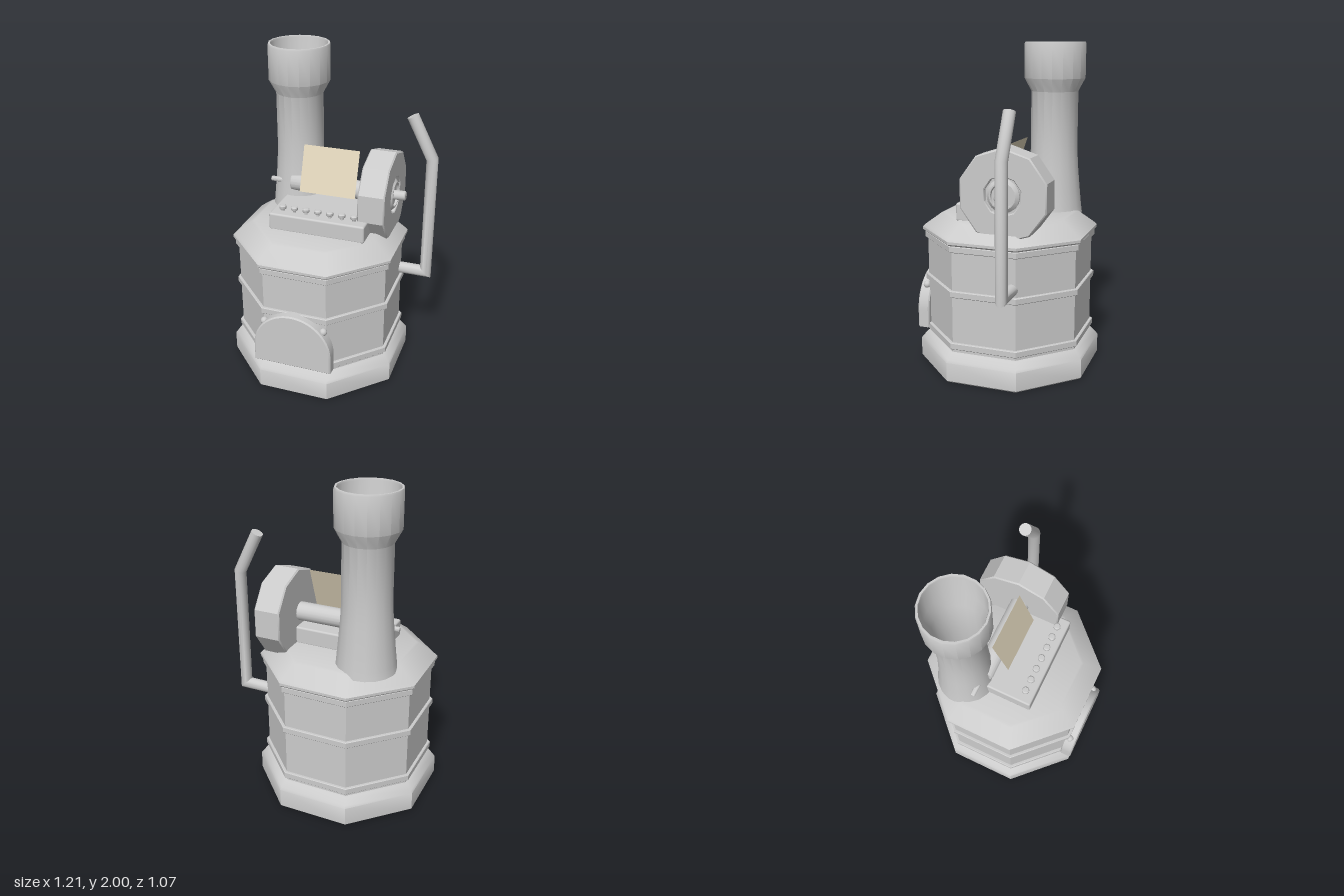
import * as THREE from 'three';
import { toCreasedNormals } from 'three/addons/utils/BufferGeometryUtils.js';
import { RoundedBoxGeometry } from 'three/addons/geometries/RoundedBoxGeometry.js';

const metal = new THREE.MeshStandardMaterial({ color: 0xcccccc });
metal.name = 'pale metal';
const paperMat = new THREE.MeshStandardMaterial({ color: 0xe0d5bb, side: THREE.DoubleSide });
paperMat.name = 'cream paper';

// Revolved solid from [radius, height] pairs
function lathe(profile, sides, start = 0, scale = 1, crease = 0.7) {
  const pts = profile.map(([r, y]) => new THREE.Vector2(r * scale, y));
  return toCreasedNormals(new THREE.LatheGeometry(pts, sides, start), crease);
}

// Pipe through points in an x-y plane, with mitred corners and closed ends
function pipe(points, radius, sides) {
  const pos = [], index = [], n = points.length;
  const p = points.map(([x, y]) => new THREE.Vector2(x, y));
  p.forEach((c, i) => {
    const a = c.clone().sub(p[Math.max(i - 1, 0)]).normalize();
    const b = p[Math.min(i + 1, n - 1)].clone().sub(c).normalize();
    const t = a.clone().add(b).normalize();
    const side = new THREE.Vector2(-t.y, t.x);
    const stretch = 1 / t.dot(i ? a : b);
    for (let j = 0; j < sides; j++) {
      const u = (j / sides) * Math.PI * 2;
      const s = Math.cos(u) * radius * stretch;
      pos.push(c.x + side.x * s, c.y + side.y * s, Math.sin(u) * radius);
    }
  });
  for (let i = 0; i < n - 1; i++) {
    for (let j = 0; j < sides; j++) {
      const k = (j + 1) % sides;
      const a = i * sides + j, b = i * sides + k;
      index.push(a, b, b + sides, a, b + sides, a + sides);
    }
  }
  const last = (n - 1) * sides;
  for (let j = 1; j < sides - 1; j++) {
    index.push(0, j + 1, j, last, last + j, last + j + 1);
  }
  const g = new THREE.BufferGeometry();
  g.setAttribute('position', new THREE.Float32BufferAttribute(pos, 3));
  g.setIndex(index);
  return toCreasedNormals(g, 0.7);
}

export function createModel() {
  const model = new THREE.Group();
  model.name = 'boilerWriter';

  function add(name, geometry, x = 0, y = 0, z = 0, material = metal) {
    const mesh = new THREE.Mesh(geometry, material);
    mesh.name = name;
    mesh.position.set(x, y, z);
    model.add(mesh);
    return mesh;
  }

  // Eight-sided boiler; radii are measured to the flats
  const cx = -0.08, cz = -0.005;
  const octagon = (profile) => lathe(profile, 8, Math.PI / 8, 1 / Math.cos(Math.PI / 8));
  add('base', octagon([
    [0, 0], [0.52, 0], [0.53, 0.01], [0.53, 0.125], [0.52, 0.14], [0.49, 0.175], [0.475, 0.18],
  ]), cx, 0, cz);
  add('boilerBody', octagon([[0.478, 0.17], [0.478, 0.86]]), cx, 0, cz);
  for (const y of [0.2, 0.525, 0.8]) {
    add('bodyBand', octagon([
      [0.475, y], [0.491, y], [0.495, y + 0.004], [0.495, y + 0.036], [0.491, y + 0.04], [0.475, y + 0.04],
    ]), cx, 0, cz);
  }
  add('lid', octagon([
    [0.47, 0.84], [0.498, 0.842], [0.508, 0.852], [0.508, 0.868], [0.495, 0.882],
    [0.4, 0.955], [0.385, 0.963], [0, 0.963],
  ]), cx, 0, cz);

  // Chimney, open at the top
  add('chimney', lathe([
    [0.185, 0.93], [0.178, 0.98], [0.168, 1.08], [0.155, 1.22], [0.147, 1.35], [0.147, 1.7],
    [0.19, 1.78], [0.19, 1.99], [0.186, 2], [0.175, 2], [0.172, 1.99], [0.172, 1.79],
    [0.141, 1.7], [0.141, 1.35], [0.15, 1.2], [0.17, 0.964],
  ], 18, 0, 1, 0.55), -0.29, 0, -0.225);

  // Arched firebox door with two knobs
  const r = 0.237, arch = new THREE.Shape();
  arch.moveTo(-r, 0.218);
  arch.lineTo(r, 0.218);
  arch.lineTo(r, 0.322);
  arch.absarc(0, 0.322, r, 0, Math.PI, false);
  arch.closePath();
  const door = new THREE.ExtrudeGeometry(arch, {
    depth: 0.06, bevelEnabled: true, bevelSize: 0.008, bevelThickness: 0.008,
    bevelSegments: 1, curveSegments: 20,
  });
  add('fireboxDoor', toCreasedNormals(door, 0.6), cx, 0, 0.467);
  for (const s of [-1, 1]) {
    add('doorKnob', new THREE.SphereGeometry(0.024, 12, 8), cx + s * 0.188, 0.48, 0.492);
  }

  // Keyboard block and its row of round keys
  add('keyboard', new RoundedBoxGeometry(0.6, 0.11, 0.38, 2, 0.012), -0.035, 1.01, 0.03);
  for (let i = 0; i < 7; i++) {
    const x = -0.265 + i * 0.075;
    add('keyStem', new THREE.CylinderGeometry(0.01, 0.01, 0.03, 8), x, 1.073, 0.16);
    add('keyCap', lathe([
      [0, 1.08], [0.019, 1.08], [0.022, 1.084], [0.022, 1.098], [0.016, 1.104], [0, 1.105],
    ], 12), x, 0, 0.16);
  }

  // Roller and axle, lying along x
  const lying = (mesh) => { mesh.rotation.z = -Math.PI / 2; return mesh; };
  lying(add('roller', lathe([
    [0, 0], [0.053, 0], [0.058, 0.006], [0.058, 0.51], [0, 0.51],
  ], 20), -0.3, 1.15, -0.1));
  lying(add('axle', lathe([
    [0, 0], [0.012, 0], [0.016, 0.005], [0.016, 0.2], [0, 0.2],
  ], 12), -0.445, 1.147, -0.1));

  // Ten-sided flywheel with a recessed hub, and its round shaft end
  lying(add('flywheel', lathe([
    [0, 0], [0.268, 0], [0.276, 0.008], [0.276, 0.157], [0.268, 0.165], [0.12, 0.165],
    [0.115, 0.16], [0.115, 0.14], [0, 0.14],
  ], 10, Math.PI / 2, 1, 0.5), 0.2, 1.147, -0.11));
  lying(add('flywheelHub', lathe([
    [0.1, 0.13], [0.1, 0.152], [0.08, 0.168], [0.072, 0.168], [0.068, 0.155], [0, 0.155],
  ], 16, 0, 1, 0.5), 0.2, 1.147, -0.11));
  lying(add('shaftEnd', lathe([
    [0.03, 0.14], [0.03, 0.224], [0.024, 0.23], [0, 0.23],
  ], 14), 0.2, 1.147, -0.11));

  // Sheet of paper leaning back over the roller
  const paper = add('paper', new THREE.PlaneGeometry(0.355, 0.291), -0.032, 1.277, -0.028, paperMat);
  paper.rotation.x = -Math.atan2(0.095, 0.275);

  // Bent exhaust pipe on the left side
  add('sidePipe', pipe([[0.36, 0.608], [0.565, 0.608], [0.565, 1.38], [0.435, 1.635]], 0.036, 16), 0, 0, -0.178);

  return model;
}
